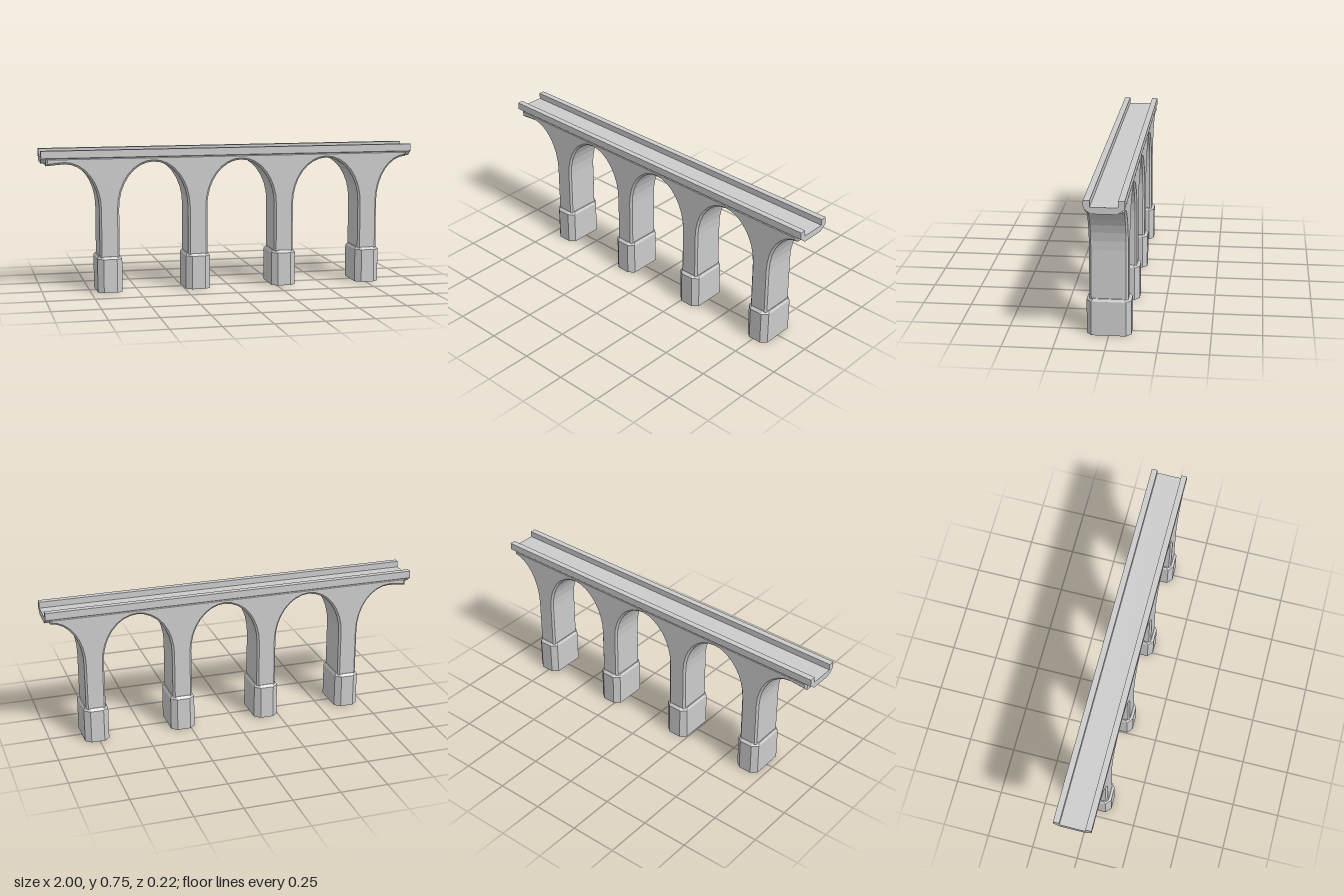
import * as THREE from 'three';
import { ConvexGeometry } from 'three/addons/geometries/ConvexGeometry.js';

const PIERS = [-0.65, -0.18, 0.29, 0.76];
const HALF = 0.052;    // half width of a pier shaft
const SPRING = 0.44;   // height where the arches begin
const CROWN = 0.684;   // underside of the arches
const FOOT = 0.17;     // shafts start inside the bases

// Points along an elliptical arc, angles in degrees
function arc(cx, rx, from, to, steps, top = CROWN) {
  const points = [];
  for (let i = 0; i <= steps; i++) {
    const a = THREE.MathUtils.degToRad(from + (to - from) * i / steps);
    points.push(new THREE.Vector2(cx + rx * Math.cos(a), SPRING + (top - SPRING) * Math.sin(a)));
  }
  return points;
}

// Side outline of shafts, arches and half arches, extruded across the bridge
function arcadeGeometry() {
  const points = [new THREE.Vector2(-0.975, 0.714), new THREE.Vector2(-0.975, 0.672)];
  points.push(...arc(-0.88, 0.88 + PIERS[0] - HALF, 90, 0, 8, 0.68));
  PIERS.forEach((x, i) => {
    points.push(new THREE.Vector2(x - HALF, FOOT), new THREE.Vector2(x + HALF, FOOT));
    if (i < PIERS.length - 1) {
      const next = PIERS[i + 1];
      points.push(...arc((x + next) / 2, (next - x) / 2 - HALF, 180, 0, 16));
    }
  });
  const end = PIERS[3] + HALF;
  points.push(...arc(0.975, 0.975 - end, 180, 90, 8), new THREE.Vector2(0.975, 0.714));
  const bevel = 0.01;
  const geometry = new THREE.ExtrudeGeometry(new THREE.Shape(points), {
    depth: 0.19 - 2 * bevel, bevelEnabled: true, bevelThickness: bevel,
    bevelSize: bevel, bevelOffset: -bevel, bevelSegments: 1,
  });
  return geometry.translate(0, 0, -0.095 + bevel);
}

// Trough section with two parapets and a chamfered underside, run along x
function deckGeometry() {
  const half = [[0.062, 0.685], [0.097, 0.712], [0.097, 0.75], [0.066, 0.75], [0.066, 0.718]];
  const mirrored = half.map(([z, y]) => [-z, y]).reverse();
  const shape = new THREE.Shape([...half, ...mirrored].map(([z, y]) => new THREE.Vector2(z, y)));
  const geometry = new THREE.ExtrudeGeometry(shape, { depth: 2, bevelEnabled: false });
  return geometry.translate(0, 0, -1).rotateY(Math.PI / 2);
}

// Eight-sided pier base with a sloped shoulder
function baseGeometry() {
  const corners = [[0.065, 0.085], [0.035, 0.11]];
  const rings = [[0, 1], [0.177, 1], [0.19, 0.88]];
  const points = [];
  for (const [y, s] of rings)
    for (const [x, z] of corners)
      for (const sx of [-1, 1])
        for (const sz of [-1, 1]) points.push(new THREE.Vector3(sx * x * s, y, sz * z * s));
  return new ConvexGeometry(points);
}

export function createModel() {
  const group = new THREE.Group();
  group.name = 'archBridge';
  const stone = new THREE.MeshStandardMaterial({ color: 0xcccccc, flatShading: true });

  const add = (name, geometry, x = 0) => {
    const mesh = new THREE.Mesh(geometry, stone);
    mesh.name = name;
    mesh.position.x = x;
    group.add(mesh);
  };

  add('arcade', arcadeGeometry());
  add('deckWithParapets', deckGeometry());
  const base = baseGeometry();
  PIERS.forEach((x, i) => add(`pierBase${i + 1}`, base, x));
  return group;
}
